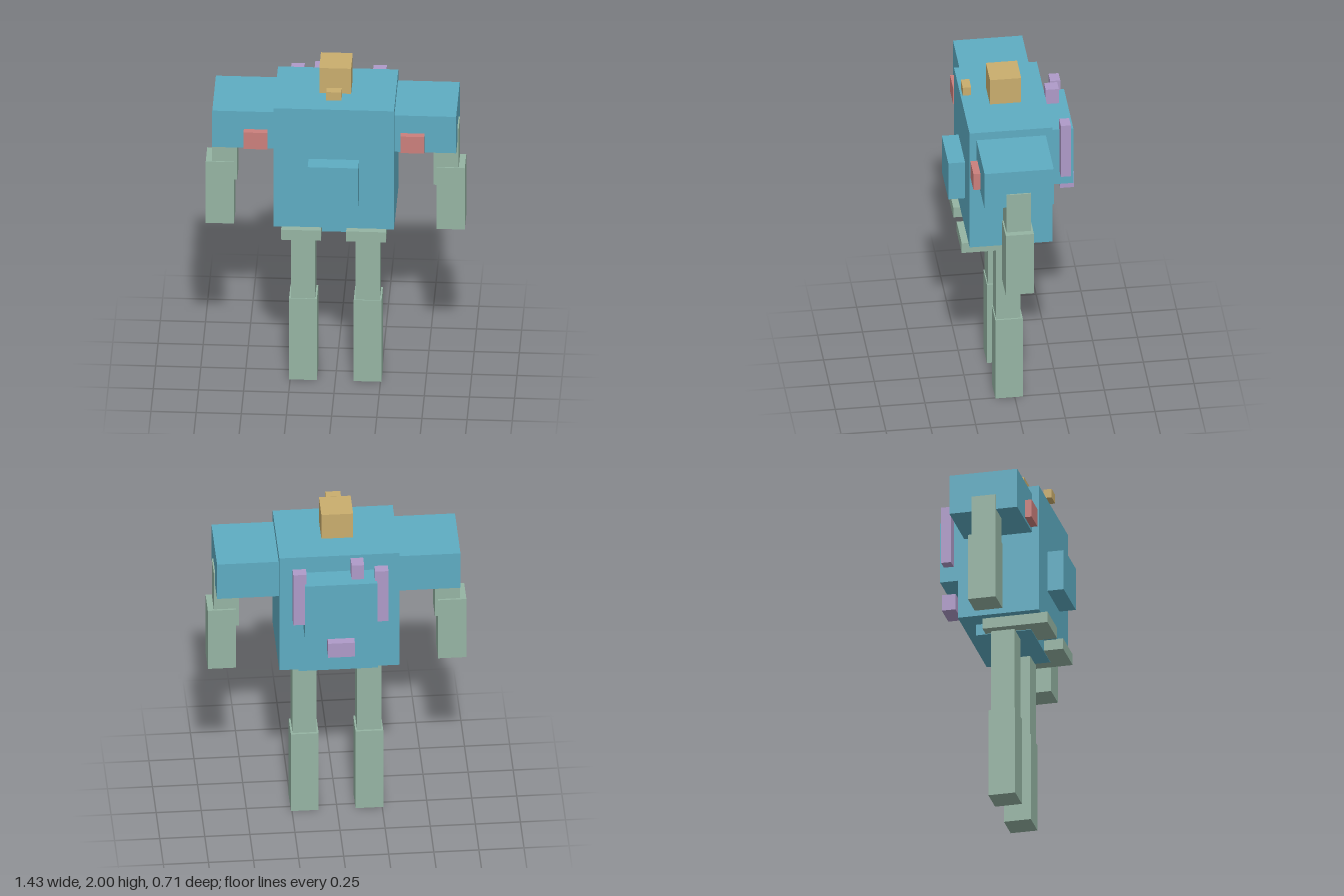
import * as THREE from 'three';

const makeMaterial = (name, color) => {
  const m = new THREE.MeshStandardMaterial({ color });
  m.name = name;
  return m;
};

export function createModel() {
  const blue = makeMaterial('armour blue', 0x5eacc2);
  const green = makeMaterial('limb green', 0x95b4a3);
  const gold = makeMaterial('head gold', 0xc9ad6d);
  const red = makeMaterial('lamp red', 0xca7f7c);
  const purple = makeMaterial('thruster purple', 0xae9ac8);

  const model = new THREE.Group();
  model.name = 'robot';

  // Box given by its extents along each axis
  const block = (name, material, [x0, x1], [y0, y1], [z0, z1]) => {
    const mesh = new THREE.Mesh(new THREE.BoxGeometry(x1 - x0, y1 - y0, z1 - z0), material);
    mesh.position.set((x0 + x1) / 2, (y0 + y1) / 2, (z0 + z1) / 2);
    mesh.name = name;
    model.add(mesh);
  };

  // Same box on the left (+x) and mirrored on the right (-x)
  const pair = (name, material, [x0, x1], y, z) => {
    block('left ' + name, material, [x0, x1], y, z);
    block('right ' + name, material, [-x1, -x0], y, z);
  };

  // Body
  block('torso', blue, [-0.333, 0.333], [1.065, 1.82], [-0.2, 0.262]);
  block('belly plate', blue, [-0.14, 0.14], [1.265, 1.503], [0.262, 0.355]);
  block('waist', blue, [-0.22, 0.22], [1.0, 1.065], [-0.125, 0.19]);

  // Head with a small floating visor block in front
  block('head', gold, [-0.088, 0.088], [1.84, 2.0], [-0.058, 0.116]);
  block('visor', gold, [-0.042, 0.042], [1.88, 1.932], [0.215, 0.262]);

  // Shoulders and arms
  pair('shoulder', blue, [0.333, 0.675], [1.54, 1.772], [-0.163, 0.223]);
  pair('shoulder lamp', red, [0.368, 0.5], [1.555, 1.66], [0.223, 0.262]);
  pair('upper arm', green, [0.543, 0.683], [1.265, 1.627], [-0.035, 0.102]);
  pair('forearm', green, [0.56, 0.717], [0.988, 1.38], [-0.047, 0.11]);

  // Hip plates and legs
  pair('hip plate', green, [0.07, 0.29], [1.003, 1.067], [-0.07, 0.3]);
  pair('thigh', green, [0.112, 0.246], [0.518, 1.02], [-0.032, 0.102]);
  pair('shin', green, [0.102, 0.256], [0, 0.518], [-0.045, 0.108]);

  // Backpack and thrusters
  block('backpack', blue, [-0.2, 0.2], [1.355, 1.716], [-0.334, -0.2]);
  pair('side thruster', purple, [0.19, 0.264], [1.443, 1.78], [-0.312, -0.256]);
  pair('lower thruster', purple, [0, 0.074], [1.243, 1.337], [-0.355, -0.277]);
  block('top thruster', purple, [-0.131, -0.061], [1.7, 1.81], [-0.287, -0.214]);

  return model;
}
